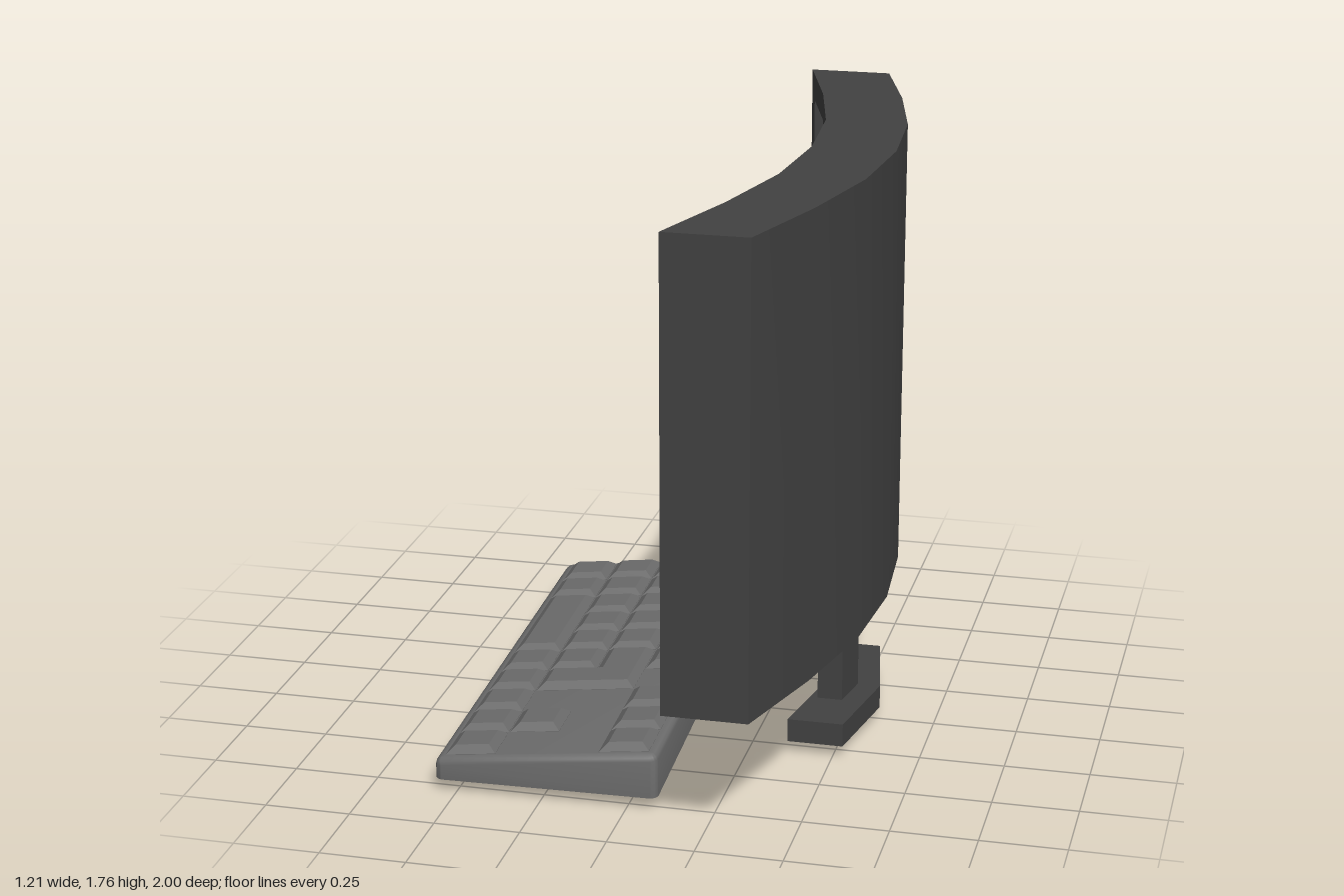
import * as THREE from 'three';
import { toCreasedNormals } from 'three/addons/utils/BufferGeometryUtils.js';

const material = (name, color) => {
  const m = new THREE.MeshStandardMaterial({ color });
  m.name = name;
  return m;
};

// Curves as [z, how far x drops back from the centre line]
const screenCurve = [[0, 0], [0.333, 0.025], [0.667, 0.1], [1, 0.2]];
const standCurve = [[0, 0], [1, 0.18]];

function dropAt(curve, z) {
  const a = Math.abs(z);
  let i = 1;
  while (i < curve.length - 1 && a > curve[i][0]) i++;
  const [z0, d0] = curve[i - 1], [z1, d1] = curve[i];
  return d0 + (d1 - d0) * (a - z0) / (z1 - z0);
}

// Slab bent along z, from x = front to x = back on the centre line
function curvedSlab(curve, z0, z1, y0, y1, front, back) {
  const inner = curve.flatMap(([z]) => (z ? [-z, z] : [0])).filter((z) => z > z0 + 0.001 && z < z1 - 0.001);
  const zs = [z0, ...inner.sort((a, b) => a - b), z1];
  const edge = (x) => zs.map((z) => new THREE.Vector2(x - dropAt(curve, z), -z));
  const shape = new THREE.Shape([...edge(front), ...edge(back).reverse()]);
  const g = new THREE.ExtrudeGeometry(shape, { depth: y1 - y0, bevelEnabled: false });
  g.rotateX(-Math.PI / 2).translate(0, y0, 0);
  return toCreasedNormals(g, 0.32);
}

// Flat-bottomed slab with a bevelled top, lying in the xz plane
function bevelledSlab(shape, height, bevel, bevelHeight, segments) {
  const g = new THREE.ExtrudeGeometry(shape, {
    depth: height - bevelHeight, bevelEnabled: true, bevelSize: bevel,
    bevelOffset: -bevel, bevelThickness: bevelHeight, bevelSegments: segments, curveSegments: 4,
  });
  const p = g.attributes.position;
  for (let i = 0; i < p.count; i++) p.setZ(i, Math.max(0, p.getZ(i)));
  return g.rotateX(-Math.PI / 2);
}

function roundedRect(w, h, r) {
  const s = new THREE.Shape(), x = w / 2, y = h / 2;
  s.absarc(x - r, y - r, r, 0, Math.PI / 2);
  s.absarc(r - x, y - r, r, Math.PI / 2, Math.PI);
  s.absarc(r - x, r - y, r, Math.PI, Math.PI * 1.5);
  s.absarc(x - r, r - y, r, Math.PI * 1.5, Math.PI * 2);
  s.closePath();
  return s;
}

export function createModel() {
  const model = new THREE.Group();
  const casing = material('casing charcoal', 0x424242);
  const glass = material('screen black', 0x0f0f0f);
  const plastic = material('keyboard grey', 0x6b6b6b);
  const add = (parent, name, geometry, mat) => {
    const mesh = new THREE.Mesh(geometry, mat);
    mesh.name = name;
    parent.add(mesh);
    return mesh;
  };

  // Curved monitor: back shell, four bezel bars and the recessed screen
  const monitor = new THREE.Group();
  monitor.name = 'monitor';
  model.add(monitor);
  const low = 0.36, high = 1.72, rim = 0.08, front = 0.355, recess = 0.39, back = 0.6;
  const panel = (name, z0, z1, y0, y1, x0, x1, mat = casing) =>
    add(monitor, name, curvedSlab(screenCurve, z0, z1, y0, y1, x0, x1), mat);
  panel('backShell', -1, 1, low, high, recess, back);
  panel('bezelBottom', -1, 1, low, low + rim, front, recess);
  panel('bezelTop', -1, 1, high - rim, high, front, recess);
  panel('bezelRight', -1, rim - 1, low + rim, high - rim, front, recess);
  panel('bezelLeft', 1 - rim, 1, low + rim, high - rim, front, recess);
  panel('screen', rim - 1, 1 - rim, low + rim, high - rim, recess - 0.006, recess, glass);

  // Stand
  const stand = new THREE.Group();
  stand.name = 'stand';
  model.add(stand);
  add(stand, 'standNeck', curvedSlab(standCurve, -0.13, 0.13, 0.05, 0.38, 0.443, 0.517), casing);
  add(stand, 'standFoot', curvedSlab(standCurve, -0.305, 0.305, 0, 0.07, 0.42, 0.585), casing);

  // Keyboard, turned slightly
  const keyboard = new THREE.Group();
  keyboard.name = 'keyboard';
  keyboard.position.x = -0.26;
  keyboard.rotation.y = 0.0286;
  model.add(keyboard);
  const mid = 0.1, slope = 0.112;

  // Wedge body: the top tilts up towards the monitor
  const body = bevelledSlab(roundedRect(0.652, 1.575, 0.025), mid, 0.022, 0.022, 3);
  const bp = body.attributes.position;
  for (let i = 0; i < bp.count; i++) {
    const y = bp.getY(i);
    if (y > 0) bp.setY(i, y + slope * bp.getX(i));
  }
  add(keyboard, 'keyboardBody', toCreasedNormals(body, 0.7), plastic);

  // Keys: outlines in grid cells, column along x and row along z
  const cx = (c) => (c - 1.5) * 0.15;
  const cz = (r) => (r - 4.5) * 0.153;
  const half = 0.073;
  const addKey = (name, points) => {
    const shape = new THREE.Shape(points.map(([x, z]) => new THREE.Vector2(x, -z)));
    const g = bevelledSlab(shape, 0.022, 0.024, 0.02, 1);
    const p = g.attributes.position;
    for (let i = 0; i < p.count; i++) p.setY(i, p.getY(i) + mid - 0.001 + slope * p.getX(i));
    add(keyboard, name, toCreasedNormals(g, 0.1), plastic);
  };
  const barKey = (name, c, r0, r1) => {
    const x0 = cx(c) - half, x1 = cx(c) + half, z0 = cz(r0) - half, z1 = cz(r1) + half;
    addKey(name, [[x0, z0], [x0, z1], [x1, z1], [x1, z0]]);
  };
  const rows = ['0123', '012', '123', '123', '123', '013', '0', '03', '013', '03'];
  rows.forEach((row, r) => [...row].forEach((c) => barKey('key', Number(c), r, r)));
  barKey('spaceBar', 0, 2, 4);

  // L-shaped key
  const l = cx(1) - half, m = cx(2) - half, e = cx(2) + half;
  const t = cz(5) - half, s = cz(6) - half, b = cz(6) + half;
  addKey('cornerKey', [[m, t], [m, s], [l, s], [l, b], [e, b], [e, t]]);

  return model;
}
